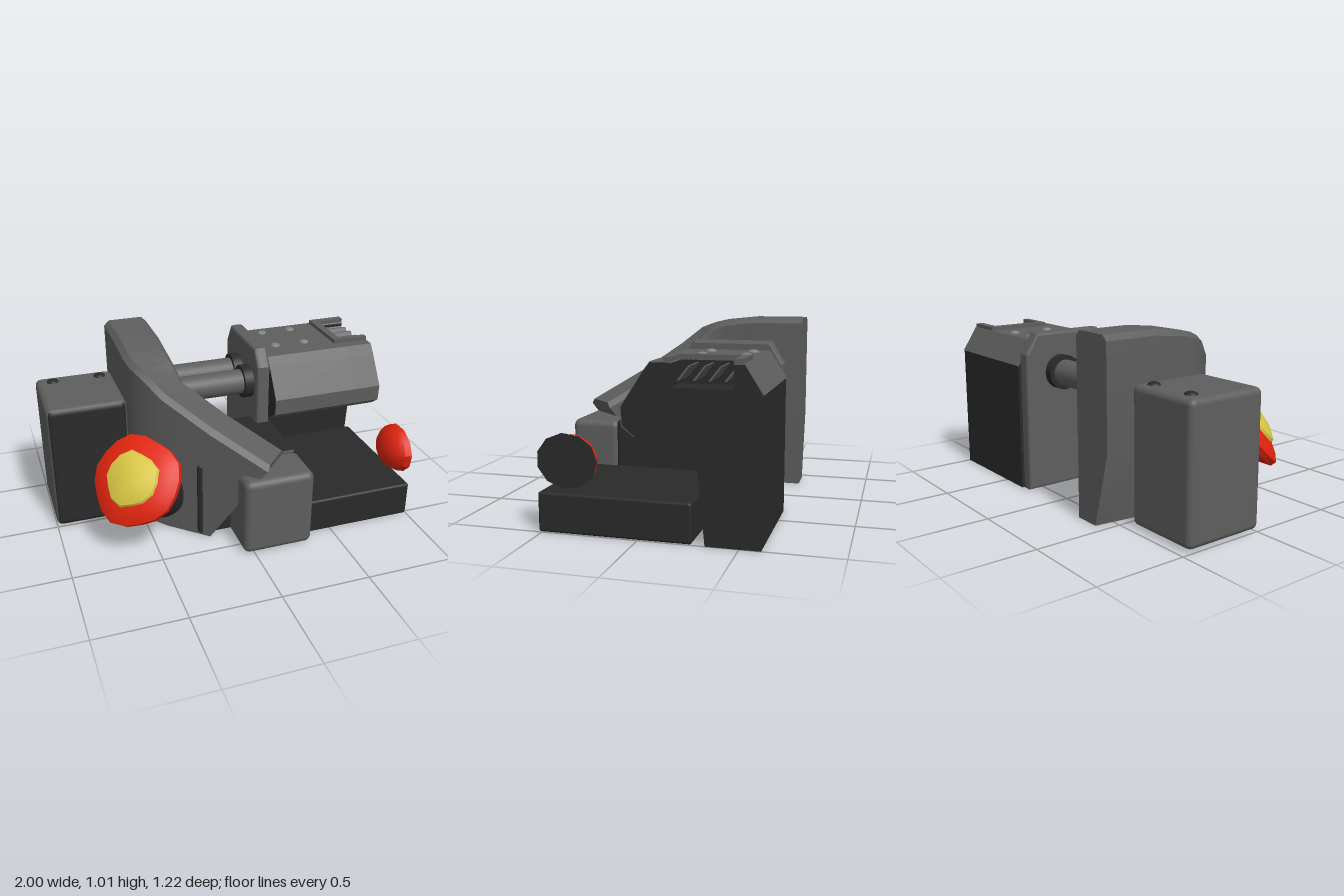
import * as THREE from 'three';
import { toCreasedNormals } from 'three/addons/utils/BufferGeometryUtils.js';
import { RoundedBoxGeometry } from 'three/addons/geometries/RoundedBoxGeometry.js';

const mat = (name, color, side = THREE.FrontSide) => {
  const m = new THREE.MeshStandardMaterial({ color, side });
  m.name = name;
  return m;
};

export function createModel() {
  const root = new THREE.Group();
  const grey = mat('grey', 0x5e5e5e);
  const dark = mat('dark', 0x2a2a2a);
  const light = mat('lightGrey', 0x808080);
  const red = mat('red', 0xe0240e);
  const yellow = mat('yellow', 0xd8c744);

  const add = (name, geo, material, x = 0, y = 0, z = 0, parent = root) => {
    const m = new THREE.Mesh(geo, material);
    m.name = name;
    m.position.set(x, y, z);
    parent.add(m);
    return m;
  };
  // Box given by its limits on each axis
  const block = (name, [x0, x1], [y0, y1], [z0, z1], r, material) => add(name,
    r ? new RoundedBoxGeometry(x1 - x0, y1 - y0, z1 - z0, 3, r) : new THREE.BoxGeometry(x1 - x0, y1 - y0, z1 - z0),
    material, (x0 + x1) / 2, (y0 + y1) / 2, (z0 + z1) / 2);
  // Profile of [z, y] points extruded along x
  const extrudeX = (name, pts, x0, x1, material, bevel = 0) => {
    const shape = new THREE.Shape(pts.map(([z, y]) => new THREE.Vector2(-z, y)));
    const geo = new THREE.ExtrudeGeometry(shape, {
      depth: x1 - x0 - 2 * bevel, bevelEnabled: bevel > 0, bevelSize: bevel,
      bevelThickness: bevel, bevelOffset: -bevel, bevelSegments: 2,
    }).rotateY(Math.PI / 2);
    return add(name, geo, material, x0 + bevel);
  };
  // Cylinder lying along x
  const rod = (name, r, x0, x1, y, z, material) =>
    add(name, new THREE.CylinderGeometry(r, r, x1 - x0, 28).rotateZ(Math.PI / 2), material, (x0 + x1) / 2, y, z);
  // Shallow bolt head
  const bolt = (name, r, x, y, z, material) =>
    add(name, new THREE.SphereGeometry(r, 20, 6, 0, Math.PI * 2, 0, Math.PI / 2).scale(1, 0.55, 1), material, x, y, z);

  // Side box with a dark front face
  block('sideBox', [-1, -0.55], [0.01, 0.755], [-0.46, 0.015], 0.035, [grey, grey, grey, grey, dark, grey]);
  for (const x of [-0.905, -0.63]) bolt('sideBoxBolt', 0.035, x, 0.752, -0.38, dark);

  // Bent wall: centre x, z, heading in degrees, top, bottom, half width, undercut, base taper
  const stations = [
    [-0.41, -0.605, 0, 1.01, 0, 0.13, 0, 0.11],
    [-0.41, -0.3, 0, 1.01, 0, 0.13, 0, 0.07],
    [-0.41, -0.12, 6, 0.99, 0, 0.13, 0, 0.03],
    [-0.4, -0.05, 14, 0.97, 0, 0.13, 0, 0],
    [-0.375, 0.01, 26, 0.94, 0, 0.125, 0, 0],
    [-0.31, 0.1, 46, 0.84, 0, 0.12, 0, 0],
    [-0.105, 0.287, 47, 0.69, 0, 0.12, 0, 0],
    [0.145, 0.515, 47, 0.535, 0.44, 0.118, 0.05, 0],
  ];
  const N = 8, pos = [], idx = [];
  for (const [cx, cz, deg, top, bot, h, cut, taper] of stations) {
    const a = THREE.MathUtils.degToRad(deg), dx = Math.sin(a), dz = Math.cos(a);
    const mid = bot + (top - bot) * 0.4, e = Math.min(0.03, (top - bot) * 0.3);
    const ring = [[h - taper, bot, cut], [h, mid, cut / 2], [h, top - e, 0], [h - 0.03, top, 0],
      [-h + 0.03, top, 0], [-h, top - e, 0], [-h, mid, cut / 2], [-h, bot, cut]];
    for (const [o, y, back] of ring) pos.push(cx - dz * o - dx * back, y, cz + dx * o - dz * back);
  }
  const last = (stations.length - 1) * N;
  for (let s = 0; s < last; s += N) {
    for (let j = 0; j < N; j++) {
      const k = (j + 1) % N;
      idx.push(s + j, s + N + j, s + N + k, s + j, s + N + k, s + k);
    }
  }
  for (let j = 1; j < N - 1; j++) idx.push(0, j, j + 1, last, last + j + 1, last + j);
  const wall = new THREE.BufferGeometry();
  wall.setAttribute('position', new THREE.Float32BufferAttribute(pos, 3));
  wall.setIndex(idx);
  add('bentWall', toCreasedNormals(wall, 0.5), grey);

  // Front foot, centre block and base slab
  block('frontFoot', [-0.06, 0.345], [0, 0.455], [0.33, 0.61], 0.04, grey);
  block('centreBlock', [-0.245, 0.345], [0.005, 0.46], [-0.155, 0.345], 0.02, dark);
  block('baseSlab', [0.35, 1], [0, 0.205], [-0.27, 0.52], 0.015, dark);

  // Housing: dark core, notched at the outer end for the vent
  const outline = [[-0.07, 0.865], [-0.03, 0.812], [0.075, 0.65], [0.07, 0.56], [0.01, 0.51], [-0.285, 0.51],
    [-0.335, 0], [-0.605, 0], [-0.605, 0.73], [-0.52, 0.865]];
  const notch = [[-0.47, 0.865], [-0.47, 0.75], [-0.17, 0.75], [-0.17, 0.865]];
  extrudeX('housingCore', outline, 0.32, 0.83, dark);
  extrudeX('housingOuterCore', [...outline, ...notch], 0.83, 1, dark);

  // Grey skin over the upper faces of the housing
  const skin = (pts, x0, x1) => {
    const inner = pts.map(([z, y]) => [z + (-0.27 - z) * 0.025, y + (0.6 - y) * 0.025]);
    extrudeX('housingSkin', [...pts, ...inner.reverse()], x0, x1, grey);
  };
  const front = [[0.01, 0.506], [0.075, 0.555], [0.08, 0.65], [-0.03, 0.818], [-0.07, 0.87]];
  const back = [[-0.52, 0.87], [-0.61, 0.73]];
  skin([...front, ...back], 0.32, 0.83);
  skin([...front, [-0.17, 0.87]], 0.83, 0.999);
  skin([[-0.47, 0.87], ...back], 0.83, 0.999);
  for (const x of [0.43, 0.62]) for (const z of [-0.45, -0.225]) bolt('housingBolt', 0.03, x, 0.868, z, light);

  // Vent rim and slanted fins
  block('ventRimInner', [0.785, 0.83], [0.85, 0.892], [-0.515, -0.135], 0, grey);
  block('ventRimFront', [0.83, 1], [0.866, 0.892], [-0.17, -0.135], 0, grey);
  block('ventRimBack', [0.83, 1], [0.866, 0.892], [-0.515, -0.47], 0, grey);
  for (let i = 0; i < 4; i++) {
    const z = -0.2 - i * 0.075;
    extrudeX('ventFin', [[z, 0.785], [z - 0.055, 0.855], [z - 0.067, 0.855], [z - 0.012, 0.785]], 0.83, 0.998, grey);
  }

  // End plate of the housing
  extrudeX('endPlate', [[-0.035, 0], [-0.035, 0.82], [-0.1, 0.918], [-0.52, 0.918], [-0.592, 0.8], [-0.592, 0]],
    0.245, 0.325, grey, 0.015);

  // Twin pipes with dark collars
  for (const z of [-0.37, -0.18]) {
    rod('pipe', 0.075, -0.29, 0.26, 0.685, z, grey);
    rod('pipeCollar', 0.1, -0.29, -0.245, 0.685, z, dark);
    rod('pipeCollar', 0.1, 0.19, 0.25, 0.685, z, dark);
  }

  // Tilted push button
  const button = new THREE.Group();
  button.name = 'pushButton';
  button.position.set(-0.4, 0.21, 0.12);
  button.quaternion.setFromUnitVectors(new THREE.Vector3(0, 1, 0), new THREE.Vector3(-0.535, 0.61, 0.585).normalize());
  root.add(button);
  const turn = (name, pts, seg, material, wobble = 0) => {
    const g = new THREE.LatheGeometry(pts.map(([r, y]) => new THREE.Vector2(r, y)), seg);
    const p = g.attributes.position;
    for (let i = 0; i < p.count; i++) {
      const a = Math.atan2(p.getZ(i), p.getX(i));
      const k = 1 + wobble * (Math.sin(3 * a) + Math.sin(5 * a + 1));
      p.setXYZ(i, p.getX(i) * k, p.getY(i), p.getZ(i) * k);
    }
    add(name, toCreasedNormals(g, 0.6), material, 0, 0, 0, button);
  };
  turn('buttonBarrel', [[0, -0.03], [0.14, -0.03], [0.165, 0], [0.165, 0.23], [0, 0.23]], 28, dark);
  turn('buttonCollar', [[0.165, 0.2], [0.19, 0.21], [0.19, 0.25], [0.18, 0.26], [0.18, 0.29], [0, 0.29]], 28, grey);
  turn('buttonCap', [[0, 0.29], [0.2, 0.29], [0.25, 0.33], [0.25, 0.365], [0.21, 0.39], [0.15, 0.41], [0, 0.42]], 18, red, 0.03);
  turn('buttonDome', [[0.16, 0.395], [0.145, 0.425], [0.08, 0.45], [0, 0.455]], 14, yellow, 0.04);

  // Second button, cut off flat at the outer side
  const knob = new THREE.SphereGeometry(1, 11, 5, 0, Math.PI * 2, 0, Math.PI / 2).rotateZ(Math.PI / 2).scale(0.12, 0.14, 0.16);
  add('sideKnob', toCreasedNormals(knob, 0.6), red, 0.998, 0.37, 0.36);
  add('sideKnobFace', new THREE.CircleGeometry(1, 11).rotateY(Math.PI / 2).scale(1, 0.14, 0.16), dark, 0.999, 0.37, 0.36);

  return root;
}
